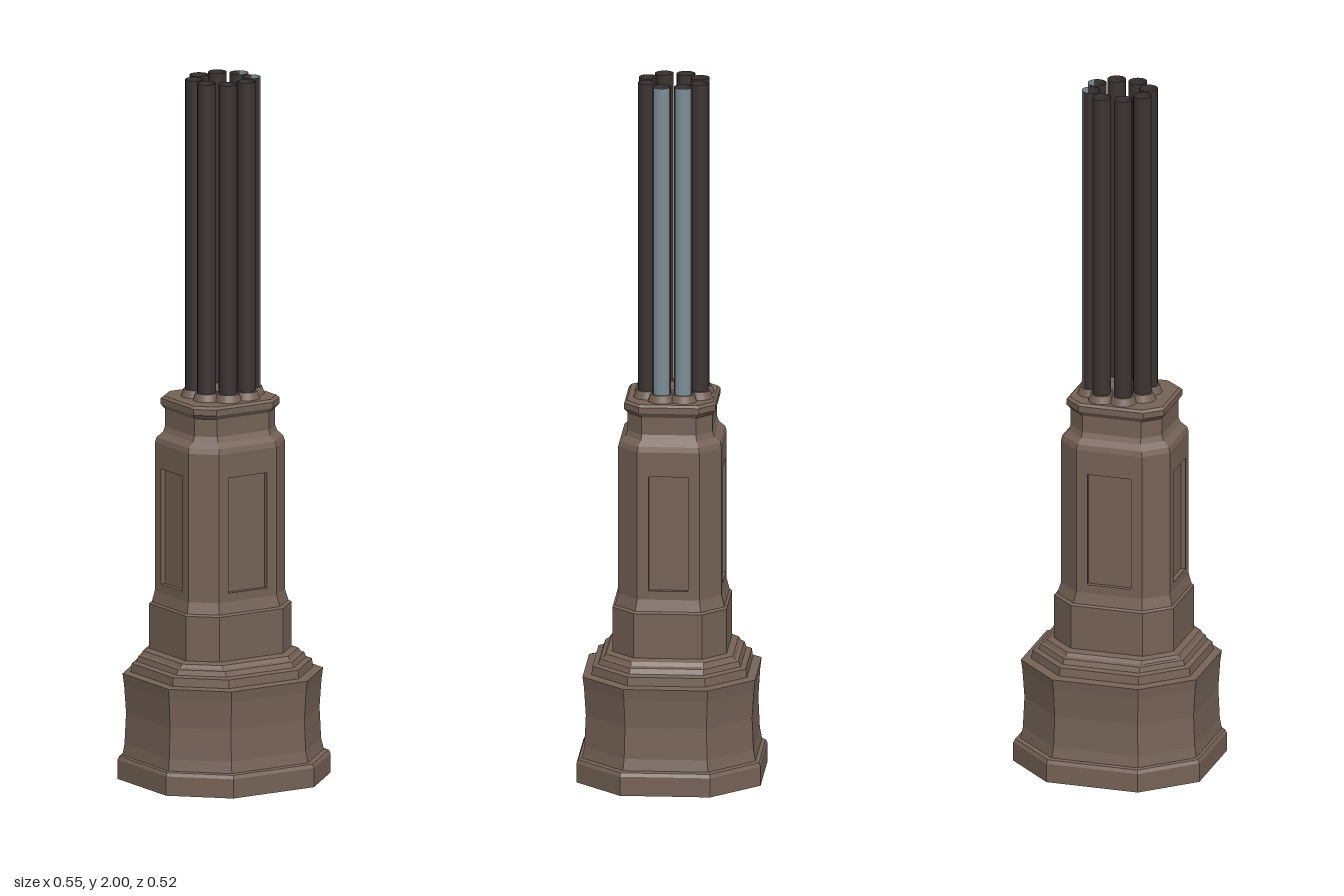
import * as THREE from 'three';

const brown = new THREE.MeshStandardMaterial({ name: 'brown stone', color: 0x756256 });
const dark = new THREE.MeshStandardMaterial({ name: 'dark metal', color: 0x3a3332, side: THREE.DoubleSide });
const blue = new THREE.MeshStandardMaterial({ name: 'pale blue metal', color: 0x7b8d95, side: THREE.DoubleSide });

const OFFSET_Z = 0.004;

// Eight corners of a chamfered rectangle, counter-clockwise from above
function octagon([y, hx, ox, k]) {
  const hz = hx - 0.015, a = hx * k, b = hz * k;
  return [[a, hz], [hx, b], [hx, -b], [a, -hz], [-a, -hz], [-hx, -b], [-hx, b], [-a, hz]]
    .map(([x, z]) => [x + ox, y, z + OFFSET_Z]);
}

// Flat-sided loft through octagons; skipMain leaves the four main faces open
function loft(sections, { skipMain = false, bottom = false, top = false } = {}) {
  const rings = sections.map(octagon), pos = [];
  const tri = (...pts) => pts.forEach((p) => pos.push(...p));
  for (let r = 0; r + 1 < rings.length; r++) {
    for (let i = 0; i < 8; i++) {
      if (skipMain && i % 2) continue;
      const j = (i + 1) % 8, lo = rings[r], hi = rings[r + 1];
      tri(lo[i], lo[j], hi[j]);
      tri(lo[i], hi[j], hi[i]);
    }
  }
  const last = rings[rings.length - 1];
  for (let i = 1; i < 7; i++) {
    if (bottom) tri(rings[0][0], rings[0][i + 1], rings[0][i]);
    if (top) tri(last[0], last[i], last[i + 1]);
  }
  const g = new THREE.BufferGeometry();
  g.setAttribute('position', new THREE.Float32BufferAttribute(pos, 3));
  g.computeVertexNormals();
  return g;
}

function add(parent, name, geometry, material, x = 0, y = 0, z = 0) {
  const m = new THREE.Mesh(geometry, material);
  m.name = name;
  m.position.set(x, y, z);
  parent.add(m);
  return m;
}

// Rectangular frame with a window and a sunken panel behind it
function recessedFace(parent, name, halfWidth, y0, y1) {
  const face = new THREE.Group();
  face.name = name;
  const rect = (Type, w, b, t) => {
    const s = new Type();
    s.moveTo(-w, b);
    s.lineTo(w, b);
    s.lineTo(w, t);
    s.lineTo(-w, t);
    s.closePath();
    return s;
  };
  const depth = 0.014, w = halfWidth - 0.032;
  const frame = rect(THREE.Shape, halfWidth, y0, y1);
  frame.holes.push(rect(THREE.Path, w, 0.56, 0.89));
  add(face, 'frame', new THREE.ExtrudeGeometry(frame, { depth, bevelEnabled: false }), brown, 0, 0, -depth);
  add(face, 'sunkenPanel', new THREE.PlaneGeometry(2 * w + 0.01, 0.34), brown, 0, 0.725, -depth + 0.001);
  parent.add(face);
  return face;
}

export function createModel() {
  const model = new THREE.Group();
  model.name = 'clusteredPillar';

  // Octagonal stonework, turned very slightly
  const stone = new THREE.Group();
  stone.name = 'stonework';
  stone.rotation.y = -0.02;
  model.add(stone);

  // Sections: height, half width, sideways shift, flat proportion
  add(stone, 'plinth', loft([
    [0, 0.273, 0, 0.49], [0.055, 0.273, 0, 0.49], [0.065, 0.268, 0, 0.49], [0.068, 0.258, -0.003, 0.49],
    [0.1, 0.252, -0.004, 0.49], [0.19, 0.248, -0.004, 0.49], [0.27, 0.253, -0.004, 0.49], [0.302, 0.257, -0.004, 0.49],
  ], { bottom: true }), brown);
  add(stone, 'steps', loft([
    [0.302, 0.257, -0.004, 0.49], [0.306, 0.233, -0.007, 0.5], [0.33, 0.23, -0.007, 0.5], [0.335, 0.215, -0.008, 0.52],
    [0.35, 0.209, -0.009, 0.53], [0.354, 0.2, -0.01, 0.55], [0.364, 0.193, -0.011, 0.57], [0.37, 0.175, -0.012, 0.6],
  ]), brown);
  add(stone, 'collarBlock', loft([
    [0.37, 0.175, -0.012, 0.6], [0.498, 0.175, -0.012, 0.6], [0.503, 0.168, -0.013, 0.6], [0.535, 0.16, -0.014, 0.6],
  ]), brown);

  // Shaft: plain chamfers and four panelled faces
  const hx = 0.16, hz = 0.145, ox = -0.014, k = 0.6;
  add(stone, 'shaftChamfers', loft([[0.535, hx, ox, k], [0.96, hx, ox, k]], { skipMain: true }), brown);
  for (let i = 0; i < 4; i++) {
    const angle = i * Math.PI / 2, side = i % 2 === 1;
    const face = recessedFace(stone, 'shaftFace', (side ? hz : hx) * k, 0.535, 0.96);
    const reach = side ? hx : hz;
    face.position.set(ox + Math.sin(angle) * reach, 0, OFFSET_Z + Math.cos(angle) * reach);
    face.rotation.y = angle;
  }
  add(stone, 'capital', loft([
    [0.96, 0.16, -0.014, 0.6], [0.975, 0.156, -0.014, 0.6], [0.99, 0.14, -0.013, 0.62], [1.005, 0.134, -0.013, 0.64],
    [1.055, 0.134, -0.013, 0.64], [1.068, 0.143, -0.013, 0.66], [1.085, 0.143, -0.013, 0.66], [1.092, 0.136, -0.013, 0.66],
  ], { top: true }), brown);
  add(stone, 'centreBlock', new THREE.BoxGeometry(0.1, 0.03, 0.092), brown, -0.005, 1.1, -0.001);

  // Ring of eight open tubes; the two on the left are pale on their outer side
  const y0 = 1.09, height = 2 - y0, radius = 0.026;
  const arc = 1.9;
  for (let i = 0; i < 8; i++) {
    const angle = (i + 0.5) * Math.PI / 4;
    const x = Math.sin(angle) * 0.081 - 0.001, z = Math.cos(angle) * 0.079 - 0.001;
    add(model, 'tubeCollar', new THREE.CylinderGeometry(0.031, 0.04, 0.026, 20), brown, x, 1.1, z);
    const tube = (name, mat, start, length) => add(model, name,
      new THREE.CylinderGeometry(radius, radius, height, 20, 1, true, start, length), mat, x, y0 + height / 2, z);
    if (i === 1 || i === 2) {
      tube('paleTubeSide', blue, Math.PI / 2 - arc / 2, arc);
      tube('darkTubeSide', dark, Math.PI / 2 + arc / 2, 2 * Math.PI - arc);
    } else {
      tube('tube', dark, 0, 2 * Math.PI);
    }
  }
  return model;
}
